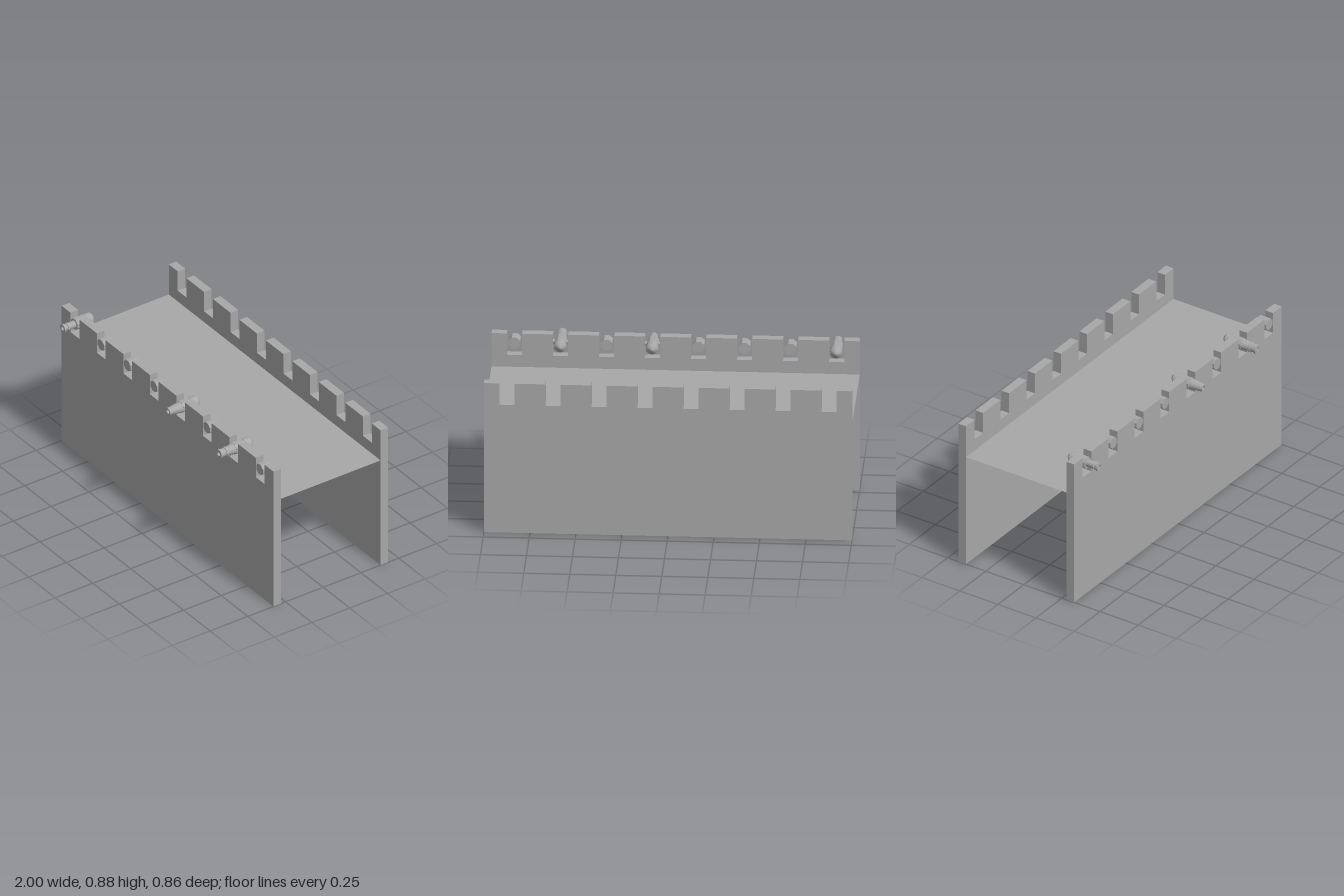
import * as THREE from 'three';

const stone = new THREE.MeshStandardMaterial({ color: 0xa8a8a8 });
stone.name = 'grey stone';
const stoneSheet = new THREE.MeshStandardMaterial({ color: 0xa8a8a8, side: THREE.DoubleSide });
stoneSheet.name = 'grey stone sheet';
const facets = new THREE.MeshStandardMaterial({ color: 0xa8a8a8, flatShading: true });
facets.name = 'grey faceted';

const NOTCHES = Array.from({ length: 8 }, (_, i) => -0.875 + i * 0.25);
const TOP = 0.875, SILL = 0.75, HALF = 0.0415, AXIS = 0.825;

function add(parent, name, geometry, material) {
  const mesh = new THREE.Mesh(geometry, material);
  mesh.name = name;
  parent.add(mesh);
  return mesh;
}

// Wall slab with a row of square embrasures along its top
function wallGeometry() {
  const s = new THREE.Shape();
  s.moveTo(-1, 0);
  s.lineTo(1, 0);
  s.lineTo(1, TOP);
  for (const x of [...NOTCHES].reverse()) {
    s.lineTo(x + HALF, TOP);
    s.lineTo(x + HALF, SILL);
    s.lineTo(x - HALF, SILL);
    s.lineTo(x - HALF, TOP);
  }
  s.lineTo(-1, TOP);
  s.closePath();
  return new THREE.ExtrudeGeometry(s, { depth: 0.05, bevelEnabled: false });
}

// Gun turned about z; profile rows are [radius, z], from breech tip to bore
function gunGeometry(profile) {
  const points = profile.map(([r, z]) => new THREE.Vector2(r, z));
  return new THREE.LatheGeometry(points, 16).rotateX(Math.PI / 2);
}

const BREECH = [[0, 0.205], [0.012, 0.211], [0.033, 0.228], [0.034, 0.235], [0.034, 0.268], [0.031, 0.27]];
const BARRELS = [
  { x: -0.875, profile: [[0.031, 0.33], [0.021, 0.335], [0.02, 0.375], [0.024, 0.378], [0.024, 0.385],
    [0.02, 0.388], [0.02, 0.398], [0.025, 0.401], [0.025, 0.412], [0.012, 0.412], [0.012, 0.37], [0, 0.37]] },
  { x: 0.125, profile: [[0.031, 0.335], [0.021, 0.415], [0.012, 0.415], [0.012, 0.37], [0, 0.37]] },
  { x: 0.625, profile: [[0.031, 0.335], [0.025, 0.378], [0.029, 0.38], [0.029, 0.392], [0.024, 0.394],
    [0.024, 0.42], [0.029, 0.422], [0.029, 0.43], [0.012, 0.43], [0.012, 0.38], [0, 0.38]] },
];

export function createModel() {
  const model = new THREE.Group();
  model.name = 'battlementWalls';

  // Two parallel walls
  const wall = wallGeometry();
  add(model, 'frontWall', wall, stone).position.z = 0.28;
  add(model, 'backWall', wall, stone).position.z = -0.43;

  // Thin walkway between the walls
  const walk = add(model, 'walkway', new THREE.PlaneGeometry(2, 0.66).rotateX(-Math.PI / 2), stoneSheet);
  walk.position.set(0, 0.68, -0.05);

  // Eight-sided mounts in the front embrasures
  const mount = new THREE.CylinderGeometry(0.034, 0.034, 0.068, 8).rotateY(Math.PI / 8).rotateX(Math.PI / 2);
  for (const x of NOTCHES) add(model, 'gunMount', mount, facets).position.set(x, AXIS, 0.3);

  // Guns with side pivots
  for (const { x, profile } of BARRELS) {
    const gun = new THREE.Group();
    gun.name = 'gun';
    gun.position.set(x, AXIS, 0);
    add(gun, 'gunBarrel', gunGeometry([...BREECH, ...profile]), facets);
    const pivot = new THREE.CylinderGeometry(0.012, 0.012, 0.083, 8).rotateZ(Math.PI / 2);
    if (x > 0) add(gun, 'gunPivot', pivot, facets).position.z = 0.305;
    model.add(gun);
  }
  return model;
}
